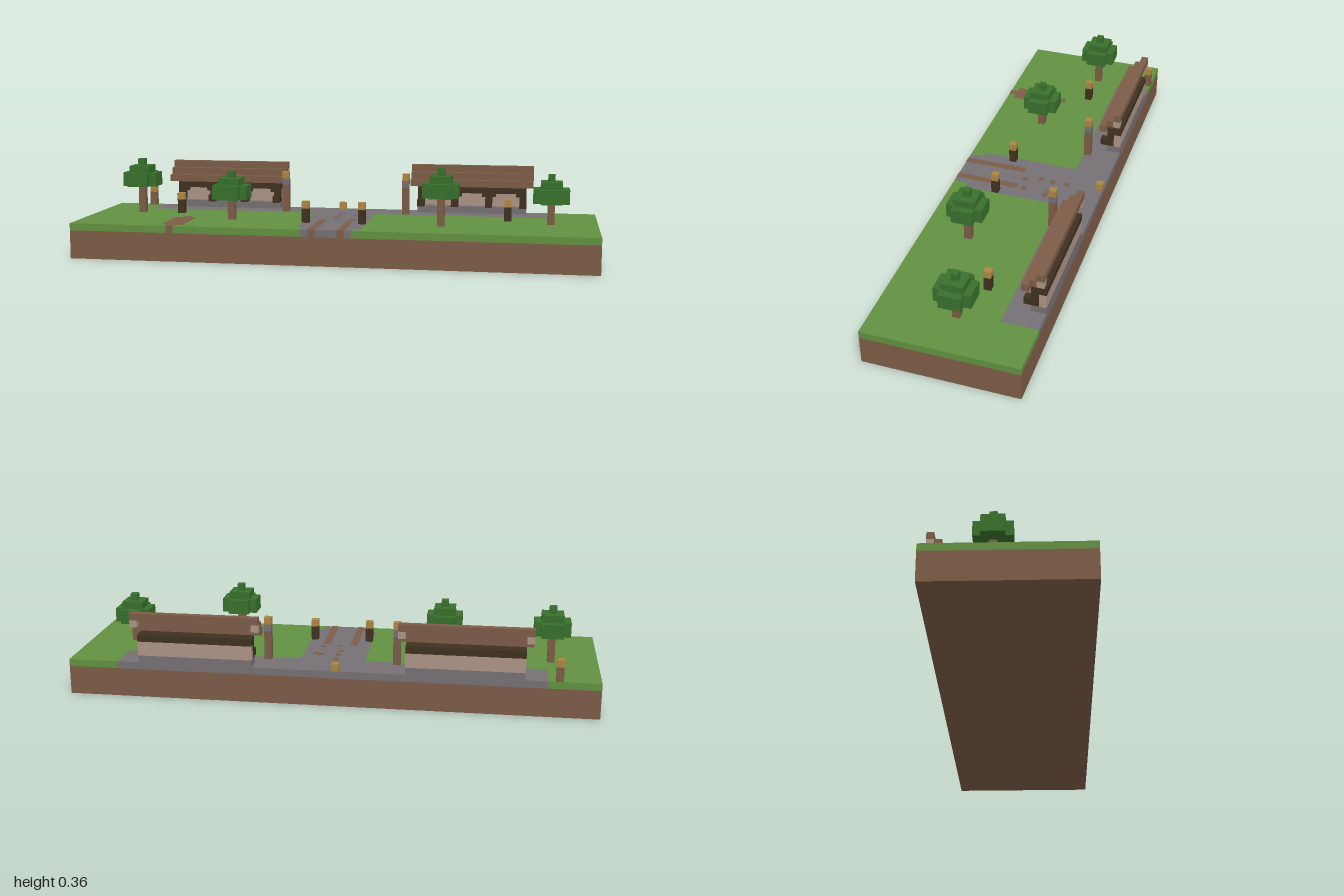
import * as THREE from 'three';

const U = 2 / 73; // one block

const mat = (name, color) => {
  const m = new THREE.MeshStandardMaterial({ color });
  m.name = name;
  return m;
};

export function createModel() {
  const M = {
    dirt: mat('dirt and timber', 0x7d5c47),
    grass: mat('grass', 0x629141),
    stone: mat('paving stone', 0x757073),
    leaf: mat('leaves', 0x38702c),
    dark: mat('dark wood', 0x3f3120),
    plaster: mat('pale plaster', 0xab9485),
    lamp: mat('lamp amber', 0xad8743),
  };

  const group = (name, parent) => {
    const g = new THREE.Group();
    g.name = name;
    if (parent) parent.add(g);
    return g;
  };

  // Box from its limits, all measured in blocks
  const box = (parent, name, m, x0, x1, y0, y1, z0, z1) => {
    const geo = new THREE.BoxGeometry((x1 - x0) * U, (y1 - y0) * U, (z1 - z0) * U);
    const mesh = new THREE.Mesh(geo, m);
    mesh.position.set((x0 + x1) / 2 * U, (y0 + y1) / 2 * U, (z0 + z1) / 2 * U);
    mesh.name = name;
    parent.add(mesh);
  };
  // One-block-wide column centred on x, z
  const column = (parent, name, m, x, y0, y1, z) =>
    box(parent, name, m, x - 0.5, x + 0.5, y0, y1, z - 0.5, z + 0.5);

  const model = group('park');

  // Earth slab, lawns and paving
  const ground = group('ground', model);
  box(ground, 'earth', M.dirt, -36.5, 36.5, 0, 4, -10.5, 10.5);
  box(ground, 'plaza', M.stone, -29.5, 29.5, 4, 5, -10.5, -5.5);
  box(ground, 'path', M.stone, -4.5, 4.5, 4, 5, -5.5, 8.5);
  box(ground, 'pathEnd', M.stone, -3.5, 3.5, 4, 5, 8.5, 10.5);
  for (const s of [-1, 1]) {
    const lawn = (a, b, z0, z1) =>
      box(ground, 'lawn', M.grass, Math.min(s * a, s * b), Math.max(s * a, s * b), 4, 5, z0, z1);
    lawn(29.5, 36.5, -10.5, -5.5);
    lawn(4.5, 36.5, -5.5, 8.5);
    lawn(3.5, 36.5, 8.5, 10.5);
    // Wheel rut, reaching the front edge
    box(ground, 'rut', M.dirt, s * 2 - 0.5, s * 2 + 0.5, 4, 5.04, 1.5, 10.54);
  }
  // Bare earth patch in the lawn
  box(ground, 'earthPatch', M.dirt, -23.5, -20.5, 4.9, 5.04, 2.5, 9.5);
  box(ground, 'earthPatchTip', M.dirt, -22.5, -21.5, 4, 5.04, 9.5, 10.54);
  box(ground, 'earthPatchTip', M.dirt, -22.5, -21.5, 4.9, 5.04, 1.3, 2.5);
  // Crumbs of earth on the path
  for (const [x, z] of [[-0.4, -5.2], [-0.4, -3.2], [2, -3.3], [2.9, -2.9], [-0.6, -1.4], [2.2, 0.4], [0, 0.9]]) {
    box(ground, 'earthCrumb', M.dirt, x - 0.4, x + 0.4, 4.95, 5.04, z - 0.35, z + 0.35);
  }

  // Two open shelters with stepped roofs
  const makeShelter = (name, cx) => {
    const g = group(name, model);
    g.position.x = cx * U;
    box(g, 'plinth', M.stone, -8, 8, 5, 6, -10.5, -8.5);
    box(g, 'backWall', M.plaster, -8, 8, 6, 8, -10.5, -9.5);
    box(g, 'beam', M.dark, -8, 8, 8, 9, -10.5, -8.5);
    for (let i = 0; i < 4; i++) {
      const x = -7.5 + i * 5;
      column(g, 'post', M.dark, x, 6, 8, -9);
      column(g, 'stool', M.dark, x, 6, 7, -8);
      // Brackets under the beam
      for (const s of [-1, 1]) {
        if (Math.abs(x + s) > 8) continue;
        box(g, 'bracket', M.dark, x + s * 0.75 - 0.25, x + s * 0.75 + 0.25, 7.5, 8, -9.5, -8.5);
      }
    }
    for (let i = 0; i < 3; i++) {
      box(g, 'roofStep', M.dirt, -9, 9, 9 + i, 10 + i, -8.5 - i, -7.5 - i);
    }
    for (const s of [-1, 1]) column(g, 'gable', M.plaster, s * 8.5, 10, 11, -10);
  };
  makeShelter('rightShelter', -18.5);
  makeShelter('leftShelter', 18.5);

  // Trees: x, z, height of the crown's underside
  for (const [x, z, y] of [[-30, -2, 9], [-15, 3, 8], [15, 4, 9], [30, 0, 8]]) {
    const g = group('tree', model);
    column(g, 'trunk', M.dirt, x, 5, y, z);
    box(g, 'crown', M.leaf, x - 1.5, x + 1.5, y, y + 2, z - 2.5, z + 2.5);
    for (const s of [-1, 1]) {
      box(g, 'crownSide', M.leaf, x + s * 2 - 0.5, x + s * 2 + 0.5, y, y + 2, z - 1.5, z + 1.5);
    }
    box(g, 'crownUpper', M.leaf, x - 1.5, x + 1.5, y + 2, y + 3, z - 1.5, z + 1.5);
    column(g, 'crownTip', M.leaf, x, y + 3, y + 4, z);
  }

  // Lamps: x, z, then the post sections as [material, height]
  const short = [[M.dark, 2]];
  const tall = [[M.dirt, 4], [M.stone, 1]];
  const lamps = [
    [-24, -2, short], [24, -2, short], [-4, 4, short], [4, 4, short],
    [-9, -6, tall], [9, -6, tall], [-31, -10, [[M.dirt, 2]]], [-1, -10, []],
  ];
  for (const [x, z, sections] of lamps) {
    const g = group('lamp', model);
    let y = 5;
    for (const [m, h] of sections) {
      column(g, 'lampPost', m, x, y, y + h, z);
      y += h;
    }
    column(g, 'lampHead', M.lamp, x, y, y + 1, z);
  }

  return model;
}
